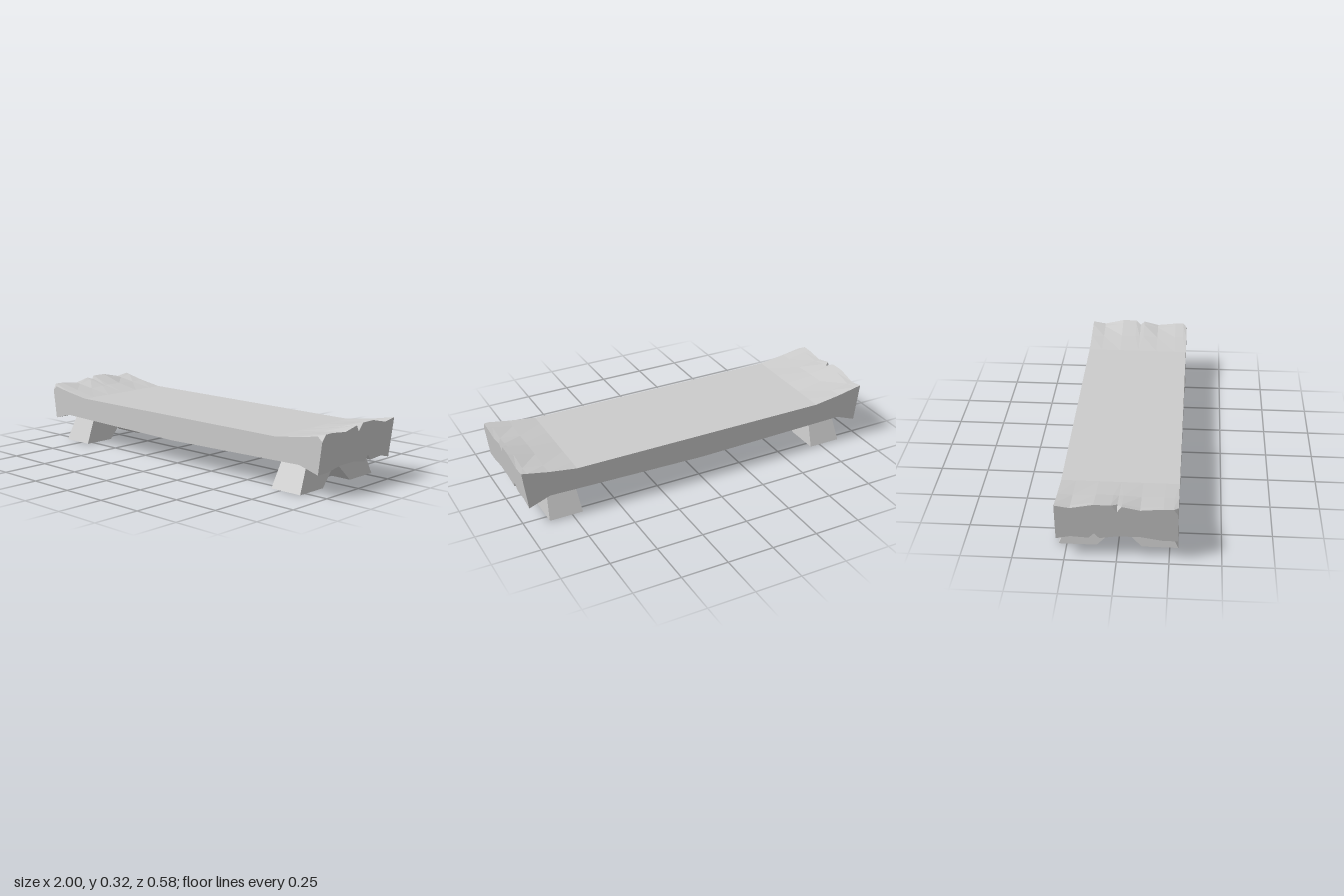
import * as THREE from 'three';

const material = new THREE.MeshStandardMaterial({ color: 0xcccccc, flatShading: true });

// Worn outline of the board's end: [z, y, y after chipping]
const topEdge = [
  [0.289, 0.307, 0.278], [0.268, 0.312], [0.22, 0.312], [0.112, 0.3], [0.027, 0.319],
  [0.005, 0.318, 0.286], [-0.022, 0.325], [-0.105, 0.325], [-0.215, 0.3], [-0.289, 0.312],
];
const bottomEdge = [
  [-0.289, 0.105], [-0.22, 0.123], [-0.132, 0.117], [-0.105, 0.12, 0.148],
  [-0.082, 0.117], [0.005, 0.133], [0.115, 0.133], [0.22, 0.115], [0.289, 0.115],
];
const edge = [...topEdge, ...bottomEdge];
const isTop = (j) => j < topEdge.length;
const endX = (y) => 0.973 + (0.027 * (y - 0.11)) / 0.205;

// Cross-sections from the middle of the board out to its end
function sections() {
  const ring = (fn) => edge.map(([z, y, chip], j) => {
    const [x, h] = fn(y, isTop(j), chip);
    return new THREE.Vector3(x, h, z);
  });
  const shoulder = (y, top) => (top ? 0.284 + 0.25 * (y - 0.312) : 0.147);
  return [
    ring((y, top) => [0, top ? 0.262 : 0.13]),
    ring((y, top) => [0.71, top ? 0.262 : 0.144]),
    ring((y, top) => [0.86, shoulder(y, top)]),
    ring((y, top) => {
      const x = endX(y) - 0.03;
      return [x, THREE.MathUtils.mapLinear(x, 0.86, endX(y), shoulder(y, top), y)];
    }),
    ring((y, top, chip) => [endX(chip ?? y), chip ?? y]),
  ];
}

function boardGeometry() {
  const rings = sections();
  const n = edge.length;
  const positions = [];
  // Adds a triangle to both halves of the board
  const tri = (a, b, c) => {
    for (const p of [a, b, c]) positions.push(p.x, p.y, p.z);
    for (const p of [a, c, b]) positions.push(-p.x, p.y, p.z);
  };
  // Skin between neighbouring sections, diagonals follow the chips
  for (let i = 0; i < rings.length - 1; i++) {
    for (let j = 0; j < n; j++) {
      const k = (j + 1) % n;
      const a = rings[i][j], b = rings[i][k], c = rings[i + 1][k], d = rings[i + 1][j];
      if (edge[k][2] !== undefined) {
        tri(a, d, b);
        tri(d, c, b);
      } else {
        tri(a, d, c);
        tri(a, c, b);
      }
    }
  }
  // End faces
  const end = rings[rings.length - 1];
  const outline = end.map((p) => new THREE.Vector2(-p.z, p.y));
  for (const [a, b, c] of THREE.ShapeUtils.triangulateShape(outline, [])) {
    const area = THREE.ShapeUtils.area([outline[a], outline[b], outline[c]]);
    if (area > 0) tri(end[a], end[b], end[c]);
    else tri(end[a], end[c], end[b]);
  }
  const geometry = new THREE.BufferGeometry();
  geometry.setAttribute('position', new THREE.Float32BufferAttribute(positions, 3));
  geometry.computeVertexNormals();
  return geometry;
}

// Splayed pair of feet, slightly narrower towards the top
function trestleGeometry() {
  const shape = new THREE.Shape([
    [-0.291, 0], [-0.115, 0], [-0.005, 0.11], [0.105, 0], [0.291, 0], [0.222, 0.152], [-0.222, 0.152],
  ].map(([x, y]) => new THREE.Vector2(x, y)));
  const geometry = new THREE.ExtrudeGeometry(shape, { depth: 0.18, bevelEnabled: false });
  geometry.translate(0, 0, -0.09).rotateY(Math.PI / 2);
  const pos = geometry.attributes.position;
  for (let i = 0; i < pos.count; i++) {
    pos.setX(i, pos.getX(i) * (1 - 1.1 * pos.getY(i)));
  }
  geometry.computeVertexNormals();
  return geometry;
}

export function createModel() {
  const model = new THREE.Group();
  model.name = 'bench';

  const board = new THREE.Mesh(boardGeometry(), material);
  board.name = 'board';
  model.add(board);

  const legs = trestleGeometry();
  for (const side of [1, -1]) {
    const trestle = new THREE.Mesh(legs, material);
    trestle.name = side > 0 ? 'leftLegs' : 'rightLegs';
    trestle.position.x = side * 0.782;
    model.add(trestle);
  }
  return model;
}
